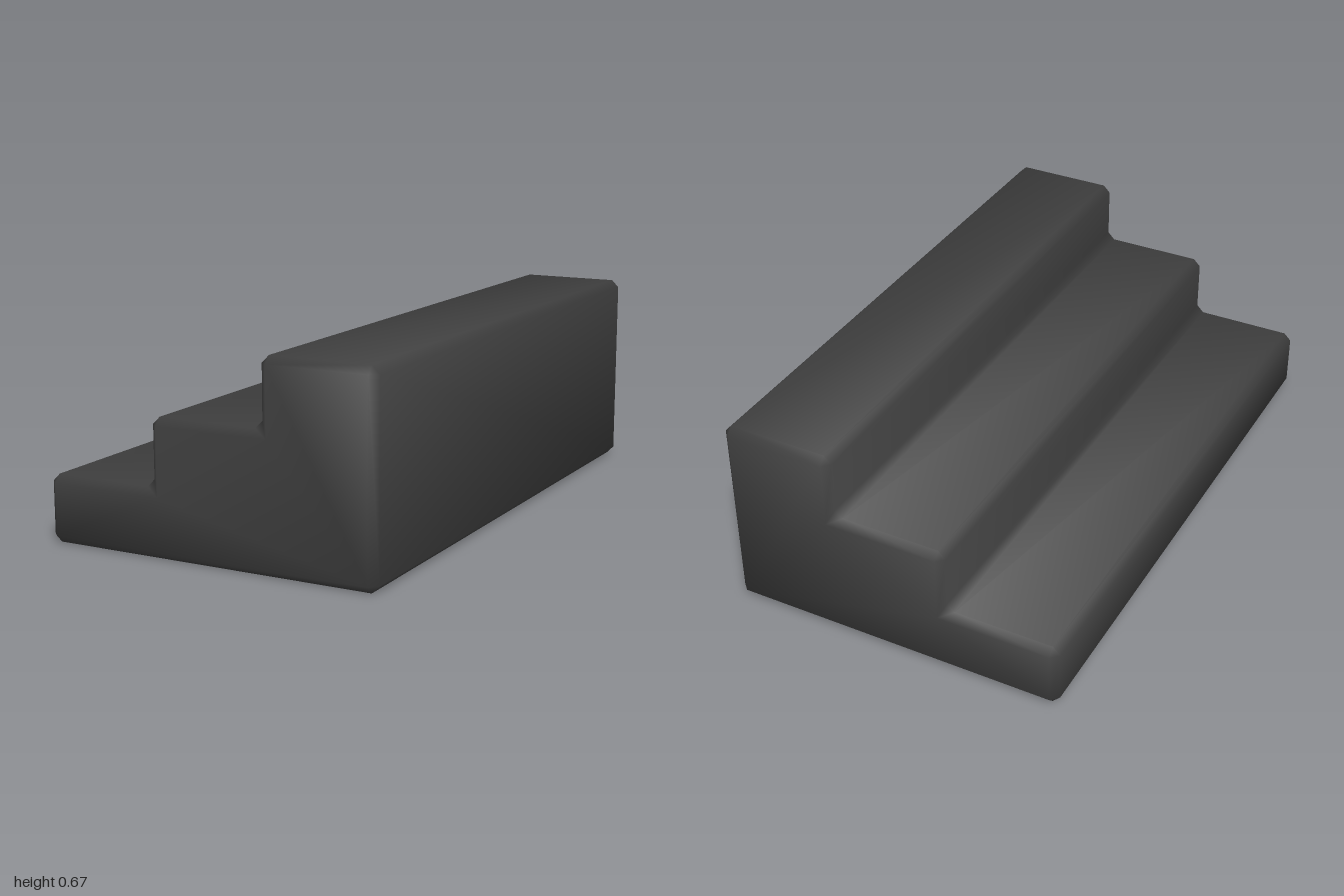
import * as THREE from 'three';

// Stepped outline, counter-clockwise, with sharp corners
const OUTLINE = [
  [-0.578, 0], [0.578, 0], [0.578, 0.667], [0.193, 0.667],
  [0.193, 0.445], [-0.193, 0.445], [-0.193, 0.222], [-0.578, 0.222],
].map(([x, y]) => new THREE.Vector2(x, y));
const BEVEL = 0.025;
const HALF_LENGTH = 1;

// Normals averaged by corner angle, so the narrow bevels shade softly
function smoothNormals(geometry) {
  const pos = geometry.attributes.position;
  const index = geometry.index.array;
  const sums = Array.from({ length: pos.count }, () => new THREE.Vector3());
  const p = (i) => new THREE.Vector3().fromBufferAttribute(pos, i);
  for (let t = 0; t < index.length; t += 3) {
    for (let k = 0; k < 3; k++) {
      const [a, b, c] = [0, 1, 2].map((j) => index[t + ((k + j) % 3)]);
      const u = p(b).sub(p(a));
      const v = p(c).sub(p(a));
      const normal = new THREE.Vector3().crossVectors(u, v).normalize();
      sums[a].addScaledVector(normal, u.angleTo(v));
    }
  }
  const normals = sums.flatMap((n) => n.normalize().toArray());
  geometry.setAttribute('normal', new THREE.Float32BufferAttribute(normals, 3));
}

// Prism along z with every edge chamfered, including the inner step corners
function beveledPrism(outline, halfLength, d) {
  const n = outline.length;
  const vertices = [];
  const faces = [];
  const capPoints = [];
  const rings = [];

  // Three vertices per corner at each end: inset cap, incoming edge, outgoing edge
  for (const side of [1, -1]) {
    const ring = { cap: [], before: [], after: [] };
    const add = (list, v, z) => {
      list.push(vertices.length / 3);
      vertices.push(v.x, v.y, z * side);
    };
    outline.forEach((corner, i) => {
      const into = corner.clone().sub(outline[(i + n - 1) % n]).normalize();
      const out = outline[(i + 1) % n].clone().sub(corner).normalize();
      const inset = corner.clone()
        .add(new THREE.Vector2(-into.y, into.x).multiplyScalar(d))
        .add(new THREE.Vector2(-out.y, out.x).multiplyScalar(d));
      if (side === 1) capPoints.push(inset);
      add(ring.cap, inset, halfLength);
      add(ring.before, corner.clone().addScaledVector(into, -d), halfLength - d);
      add(ring.after, corner.clone().addScaledVector(out, d), halfLength - d);
    });
    rings.push(ring);
  }

  const tri = (a, b, c, flip) => faces.push(...(flip ? [a, c, b] : [a, b, c]));
  const quad = (a, b, c, e, flip) => {
    tri(a, b, c, flip);
    tri(a, c, e, flip);
  };

  // End caps, end bevels and corner triangles
  const capFaces = THREE.ShapeUtils.triangulateShape(capPoints, []);
  rings.forEach(({ cap, before, after }, s) => {
    const flip = s === 1;
    capFaces.forEach(([a, b, c]) => tri(cap[a], cap[b], cap[c], flip));
    for (let i = 0; i < n; i++) {
      const j = (i + 1) % n;
      quad(after[i], before[j], cap[j], cap[i], flip);
      tri(before[i], after[i], cap[i], flip);
    }
  });

  // Long walls, treads and the chamfers between them
  const [front, back] = rings;
  for (let i = 0; i < n; i++) {
    const j = (i + 1) % n;
    quad(back.after[i], back.before[j], front.before[j], front.after[i]);
    quad(back.before[i], back.after[i], front.after[i], front.before[i]);
  }

  const geometry = new THREE.BufferGeometry();
  geometry.setAttribute('position', new THREE.Float32BufferAttribute(vertices, 3));
  geometry.setIndex(faces);
  smoothNormals(geometry);
  return geometry;
}

export function createModel() {
  const charcoal = new THREE.MeshStandardMaterial({ color: 0x404040 });
  charcoal.name = 'charcoal';

  const steps = new THREE.Mesh(beveledPrism(OUTLINE, HALF_LENGTH, BEVEL), charcoal);
  steps.name = 'steps';

  const model = new THREE.Group();
  model.name = 'staircase';
  model.add(steps);
  return model;
}
